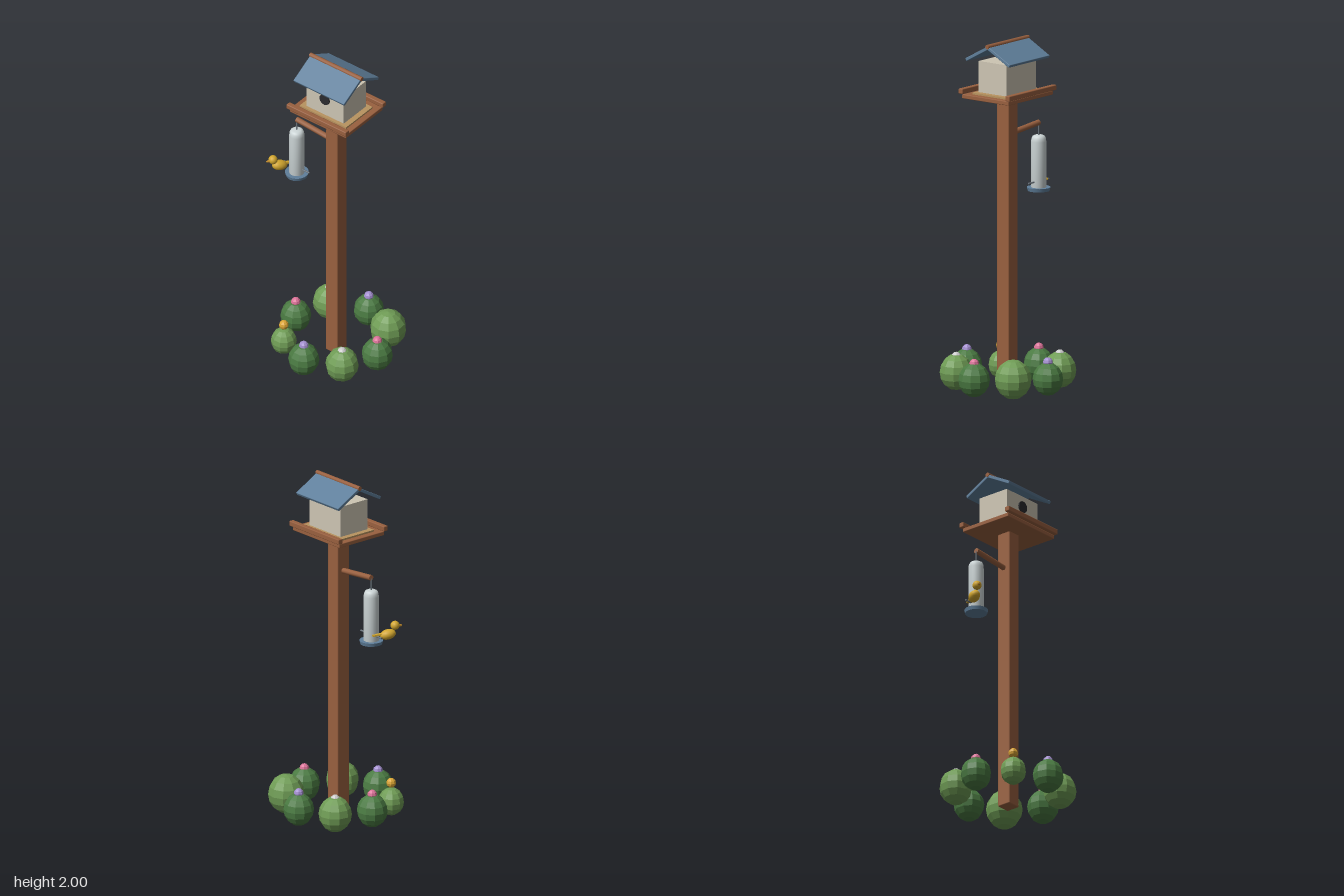
import * as THREE from 'three';
import { RoundedBoxGeometry } from 'three/addons/geometries/RoundedBoxGeometry.js';

const mat = (color, flatShading = false) => new THREE.MeshStandardMaterial({ color, flatShading });
const wood = mat(0x99603f), roofBlue = mat(0x5f7f9b), wall = mat(0xcdc5b3), tan = mat(0xb8935f);
const dark = mat(0x2b2b2e), tube = mat(0xcdd6d7), steel = mat(0x6d7780), yellow = mat(0xd2a62e);
const beakMat = mat(0xc08a2c);

function add(parent, name, geometry, material, x = 0, y = 0, z = 0) {
  const m = new THREE.Mesh(geometry, material);
  m.name = name;
  m.position.set(x, y, z);
  parent.add(m);
  return m;
}

const beveled = (w, h, d, r = 0.004) => new RoundedBoxGeometry(w, h, d, 1, r);

// Round bar between two points
function rod(parent, name, a, b, radius, material, sides = 10, endRadius = radius) {
  const from = new THREE.Vector3(...a), to = new THREE.Vector3(...b);
  const dir = to.clone().sub(from);
  const m = add(parent, name, new THREE.CylinderGeometry(endRadius, radius, dir.length(), sides), material);
  m.position.copy(from).add(to).multiplyScalar(0.5);
  m.quaternion.setFromUnitVectors(new THREE.Vector3(0, 1, 0), dir.normalize());
  return m;
}

function createHouse() {
  const house = new THREE.Group();
  house.name = 'birdHouse';
  // Tray
  add(house, 'platform', beveled(0.4, 0.024, 0.334), wood, 0, 1.688, 0);
  add(house, 'floorBoard', new THREE.BoxGeometry(0.33, 0.01, 0.24), tan, 0, 1.705, 0);
  for (const s of [-1, 1]) {
    add(house, s > 0 ? 'frontRail' : 'backRail', beveled(0.424, 0.03, 0.031, 0.005), wood, 0, 1.718, s * 0.168);
  }
  // Box and entrance
  add(house, 'houseBox', new THREE.BoxGeometry(0.265, 0.18, 0.2), wall, 0, 1.798, 0);
  const hole = add(house, 'entrance', new THREE.CylinderGeometry(0.034, 0.034, 0.012, 20), dark, 0, 1.82, 0.103);
  hole.rotation.x = Math.PI / 2;
  // Two roof slabs under a ridge bar
  for (const s of [-1, 1]) {
    const slab = add(house, s > 0 ? 'frontRoof' : 'backRoof', beveled(0.36, 0.018, 0.178, 0.003), roofBlue, 0, 1.938, s * 0.078);
    slab.rotation.x = s * 0.5;
  }
  rod(house, 'ridgeBar', [-0.184, 1.987, 0], [0.184, 1.987, 0], 0.013, wood);
  return house;
}

function createFeeder() {
  const feeder = new THREE.Group();
  feeder.name = 'feeder';
  rod(feeder, 'arm', [-0.02, 1.461, 0], [-0.28, 1.484, 0], 0.016, wood);
  rod(feeder, 'hook', [-0.28, 1.48, 0], [-0.28, 1.4, 0], 0.004, steel, 8);
  // Tube with a rounded top
  const profile = [[0, 1.1], [0.043, 1.1], [0.043, 1.375], [0.041, 1.393], [0.035, 1.406], [0.024, 1.412], [0, 1.413]]
    .map(([r, y]) => new THREE.Vector2(r, y));
  add(feeder, 'seedTube', new THREE.LatheGeometry(profile, 24), tube, -0.28);
  add(feeder, 'seedTray', new THREE.CylinderGeometry(0.067, 0.062, 0.02, 24), roofBlue, -0.28, 1.105);
  rod(feeder, 'perch', [-0.37, 1.148, 0], [-0.19, 1.148, 0], 0.005, steel, 8);
  return feeder;
}

// Bird built facing +z, then turned outwards
function createBird() {
  const bird = new THREE.Group();
  bird.name = 'bird';
  const body = add(bird, 'body', new THREE.SphereGeometry(0.031, 14, 10), yellow);
  body.scale.set(1, 0.95, 1.5);
  body.rotation.x = -0.2;
  add(bird, 'head', new THREE.SphereGeometry(0.026, 14, 10), yellow, 0, 0.05, 0.041);
  rod(bird, 'beak', [0, 0.048, 0.06], [0, 0.047, 0.081], 0.01, beakMat, 6, 0.005);
  const tail = add(bird, 'tail', new THREE.BoxGeometry(0.019, 0.009, 0.065), yellow, 0, 0.002, -0.057);
  tail.rotation.x = -0.1;
  bird.position.set(-0.353, 1.157, 0.051);
  bird.rotation.y = -0.47;
  return bird;
}

// Ring of bushes with blossoms: x, z, radius, leaf shade, blossom colour
function createBushes() {
  const ring = new THREE.Group();
  ring.name = 'bushes';
  const deep = mat(0x4a7a42, true), light = mat(0x6f9c55, true);
  const purple = 0xa48fd0, pink = 0xdc7399, pale = 0xc4c2c4, gold = 0xdba535;
  const bushes = [
    [0.01, -0.295, 0.086, deep, purple],
    [0.215, -0.21, 0.103, light, null],
    [0.302, 0, 0.089, deep, pink],
    [0.21, 0.202, 0.094, light, pale],
    [0.006, 0.289, 0.088, deep, purple],
    [-0.2, 0.208, 0.073, light, gold],
    [-0.278, 0, 0.087, deep, pink],
    [-0.204, -0.21, 0.094, light, pale],
  ];
  bushes.forEach(([x, z, r, leaf, blossom], i) => {
    const bush = add(ring, 'bush', new THREE.SphereGeometry(r, 10, 8), leaf, x, r * 1.1 + 0.006, z);
    bush.scale.y = 1.1;
    bush.rotation.y = i * 0.7 + 0.3;
    if (blossom !== null) {
      add(ring, 'blossom', new THREE.SphereGeometry(0.028, 8, 6), mat(blossom, true), x, 0.196, z);
    }
  });
  return ring;
}

export function createModel() {
  const model = new THREE.Group();
  model.name = 'birdHouseOnPost';
  // Post, house and feeder share one axis
  const stand = new THREE.Group();
  stand.name = 'stand';
  add(stand, 'post', beveled(0.085, 1.68, 0.085, 0.006), wood, 0, 0.84, 0);
  stand.add(createHouse(), createFeeder());
  stand.position.set(0.007, 0, -0.003);
  model.add(stand, createBird(), createBushes());
  return model;
}
